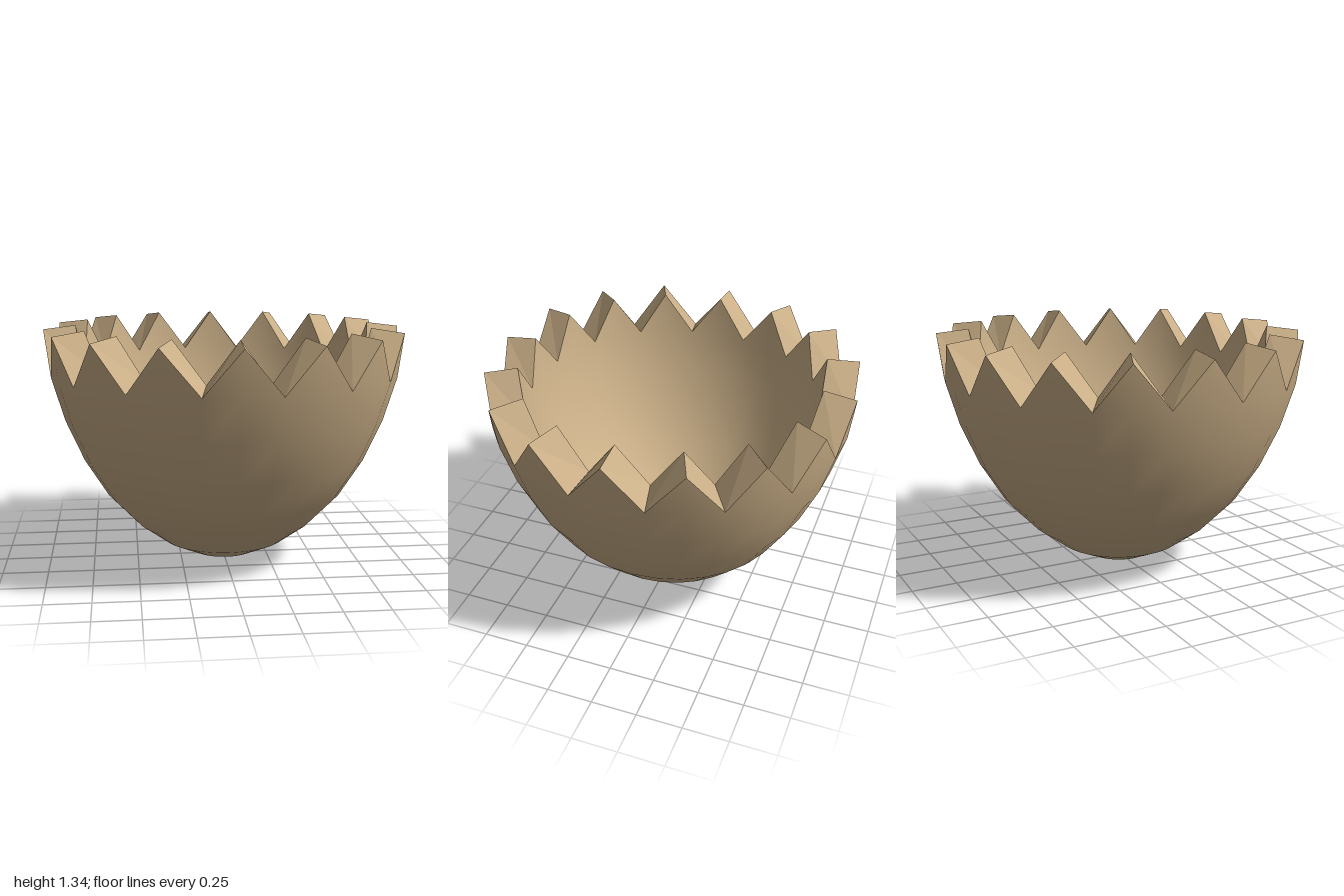
import * as THREE from 'three';

const SEGMENTS = 32; // 16 teeth: even columns are tips, odd columns are notches
const THICKNESS = 0.18;

// Outer profile from the base pole to the tooth tips: [radius, height]
const OUTER = [
  [0, 0], [0.18, 0.03], [0.35, 0.11], [0.51, 0.23], [0.67, 0.4],
  [0.8, 0.61], [0.9, 0.84], [0.97, 1.08], [1, 1.32],
];
const TIP = OUTER.length - 1;

// Inner profile: the outer one moved inwards along its normals
const INNER = OUTER.map(([r, y], i) => {
  if (i === 0) return [0, y + THICKNESS];
  const [r0, y0] = OUTER[i - 1];
  const [r1, y1] = OUTER[Math.min(i + 1, TIP)];
  const len = Math.hypot(r1 - r0, y1 - y0);
  return [r - THICKNESS * (y1 - y0) / len, y + THICKNESS * (r1 - r0) / len];
});

// Point on a shell; the plan is a slightly squared circle
function shellPoint(profile, row, column) {
  const [r, y] = profile[row];
  const t = (column / SEGMENTS) * Math.PI * 2;
  const angle = t + 0.014 * Math.sin(4 * t);
  const bulge = 0.028 * Math.sqrt(OUTER[row][1] / 1.32) * Math.sin(2 * t) ** 2;
  const radius = r * (1 + bulge);
  return [radius * Math.sin(angle), y, radius * Math.cos(angle)];
}

// Smooth bowl wall with triangular teeth on its top ring
function shellGeometry(profile, inward) {
  const positions = [...shellPoint(profile, 0, 0)];
  const index = [];
  const id = (row, i) => (row === 0 ? 0 : 1 + (row - 1) * SEGMENTS + (i % SEGMENTS));
  const face = (a, b, c) => index.push(...(inward ? [a, c, b] : [a, b, c]));

  for (let row = 1; row <= TIP; row++) {
    for (let i = 0; i < SEGMENTS; i++) positions.push(...shellPoint(profile, row, i));
  }
  for (let row = 0; row < TIP; row++) {
    for (let i = 0; i < SEGMENTS; i++) {
      const a = id(row, i), b = id(row, i + 1);
      const c = id(row + 1, i + 1), d = id(row + 1, i);
      if (row === 0) face(a, c, d);
      else if (row === TIP - 1) face(a, b, i % 2 ? c : d);
      else { face(a, b, c); face(a, c, d); }
    }
  }
  const geometry = new THREE.BufferGeometry();
  geometry.setAttribute('position', new THREE.Float32BufferAttribute(positions, 3));
  geometry.setIndex(index);
  geometry.computeVertexNormals();
  return geometry;
}

// Flat zigzag strip joining the two walls along the broken edge
function rimGeometry() {
  const positions = [];
  const edge = (profile, i) => shellPoint(profile, i % 2 ? TIP - 1 : TIP, i);
  for (let i = 0; i < SEGMENTS; i++) {
    const a = edge(OUTER, i), b = edge(OUTER, i + 1);
    const c = edge(INNER, i + 1), d = edge(INNER, i);
    positions.push(...a, ...b, ...c, ...a, ...c, ...d);
  }
  const geometry = new THREE.BufferGeometry();
  geometry.setAttribute('position', new THREE.Float32BufferAttribute(positions, 3));
  geometry.computeVertexNormals();
  return geometry;
}

export function createModel() {
  const group = new THREE.Group();
  group.name = 'brokenEggshell';
  const material = new THREE.MeshStandardMaterial({ color: 0xcbb088 });
  const add = (name, geometry) => {
    const mesh = new THREE.Mesh(geometry, material);
    mesh.name = name;
    group.add(mesh);
  };
  add('outerShell', shellGeometry(OUTER, false));
  add('innerShell', shellGeometry(INNER, true));
  add('jaggedRim', rimGeometry());
  return group;
}
